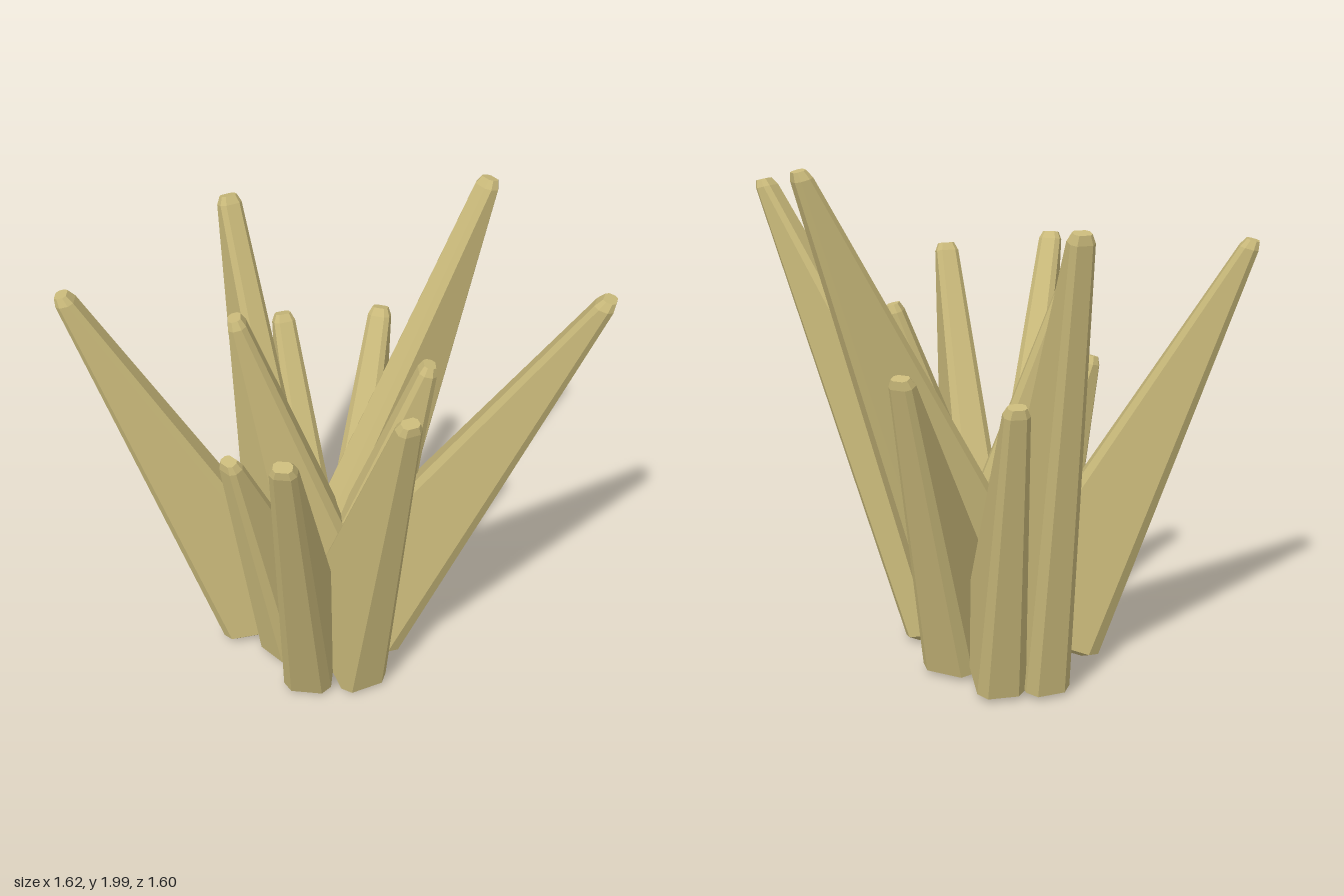
import * as THREE from 'three';

const straw = new THREE.MeshStandardMaterial({ color: 0xc9b97a });
straw.name = 'straw';
straw.flatShading = true;

// tip x, y, z, outer foot x, z, foot width, foot depth
const BLADES = [
  [0.655, 1.89, 0.75, 0.26, 0.215, 0.22, 0.50],
  [0.77, 2.00, -0.03, 0.27, -0.05, 0.18, 0.52],
  [0.56, 1.31, -0.41, 0.33, -0.23, 0.22, 0.42],
  [0.26, 1.24, -0.70, 0.21, -0.51, 0.19, 0.42],
  [0.055, 1.83, -0.765, 0.035, -0.57, 0.18, 0.54],
  [-0.765, 1.73, -0.60, -0.34, -0.30, 0.195, 0.48],
  [-0.28, 1.67, -0.18, -0.10, -0.075, 0.22, 0.40],
  [-0.44, 1.19, 0.00, -0.27, -0.03, 0.20, 0.38],
  [-0.585, 1.61, 0.595, -0.27, 0.24, 0.20, 0.47],
  [-0.09, 1.59, 0.62, -0.045, 0.365, 0.21, 0.50],
  [0.33, 1.44, 0.20, 0.22, 0.13, 0.18, 0.42],
];

// Chamfered rectangle, counter-clockwise from above: r outward, t sideways
function section(halfR, halfT, bevel) {
  const pts = [];
  for (const [sr, st] of [[1, 1], [-1, 1], [-1, -1], [1, -1]]) {
    const a = [sr * halfR, st * (halfT - bevel)];
    const b = [sr * (halfR - bevel), st * halfT];
    pts.push(...(sr * st > 0 ? [a, b] : [b, a]));
  }
  return pts;
}

// Tapered blade with chamfered edges and ends, cut square to its lean
function bladeGeometry([tx, ty, tz, fx, fz, width, depth]) {
  const out = new THREE.Vector3(tx - fx, 0, tz - fz).normalize();
  const side = new THREE.Vector3(0, 1, 0).cross(out);
  const tilt = 0.25;
  const foot = new THREE.Vector3(fx, 0.024 + tilt * depth / 2, fz).addScaledVector(out, -depth / 2);
  const tip = new THREE.Vector3(tx, ty - 0.04, tz);
  const lift = tip.clone().sub(foot).normalize();

  const rings = [
    [foot.clone().addScaledVector(lift, -0.025), section(depth / 2 - 0.03, width / 2 - 0.025, 0.025)],
    [foot, section(depth / 2, width / 2, 0.035)],
    [tip, section(0.034, 0.047, 0.018)],
    [tip.clone().addScaledVector(lift, 0.033), section(0.023, 0.033, 0.012)],
  ];
  const positions = [];
  for (const [centre, pts] of rings) {
    for (const [r, t] of pts) {
      const p = centre.clone().addScaledVector(out, r).addScaledVector(side, t);
      positions.push(p.x, p.y - tilt * r, p.z);
    }
  }
  const n = 8;
  const index = [];
  for (let k = 0; k < rings.length - 1; k++) {
    for (let i = 0; i < n; i++) {
      const a = k * n + i, b = k * n + (i + 1) % n;
      index.push(a, b, b + n, a, b + n, a + n);
    }
  }
  const top = (rings.length - 1) * n;
  for (let i = 1; i < n - 1; i++) {
    index.push(0, i + 1, i, top, top + i, top + i + 1);
  }
  const indexed = new THREE.BufferGeometry();
  indexed.setAttribute('position', new THREE.Float32BufferAttribute(positions, 3));
  indexed.setIndex(index);
  const geometry = indexed.toNonIndexed();
  geometry.computeVertexNormals();
  return geometry;
}

export function createModel() {
  const model = new THREE.Group();
  model.name = 'grassTuft';
  BLADES.forEach((blade, i) => {
    const mesh = new THREE.Mesh(bladeGeometry(blade), straw);
    mesh.name = `blade${i + 1}`;
    model.add(mesh);
  });
  return model;
}
